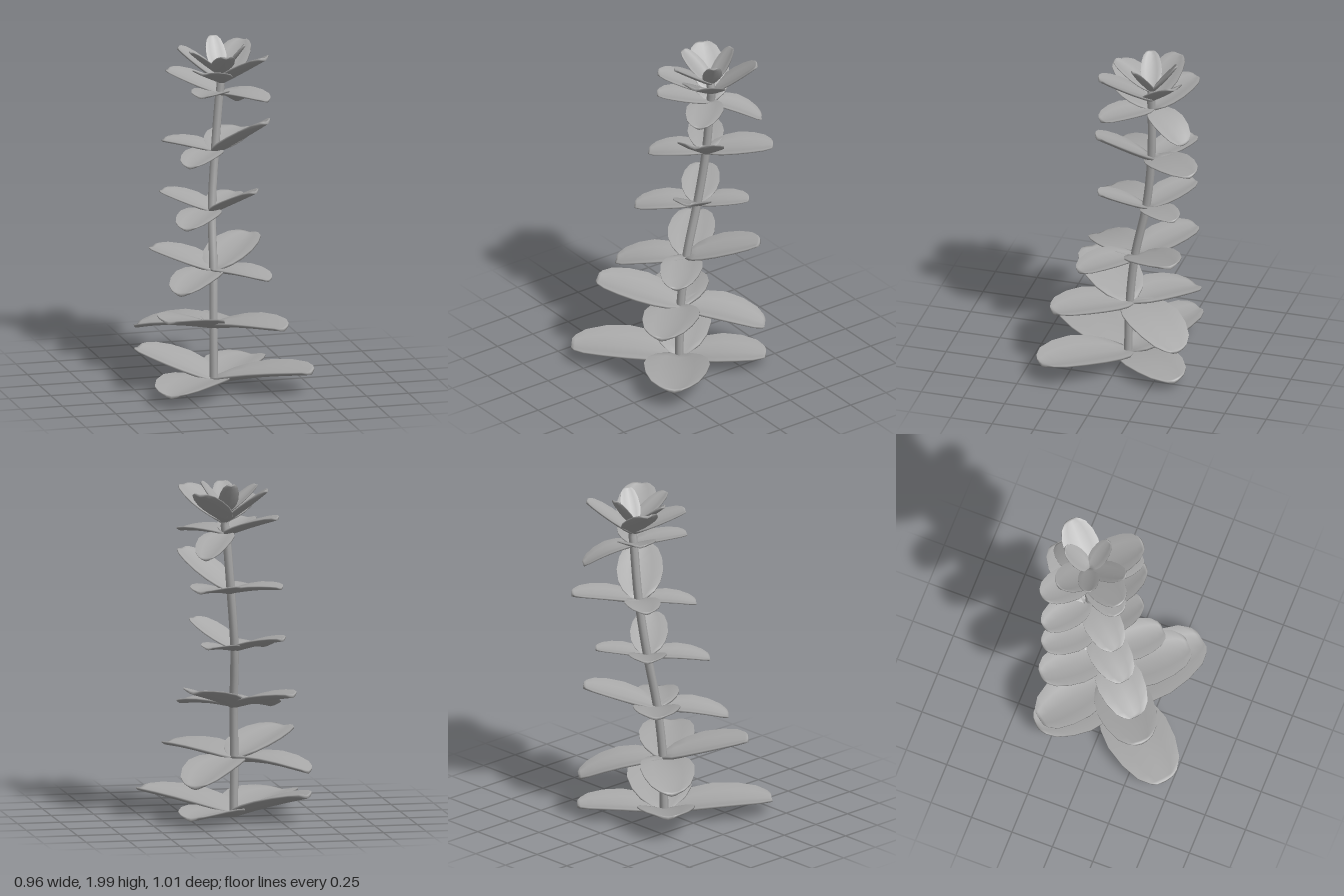
import * as THREE from 'three';

// Each whorl: the node on the stem, the tips of its leaves and their relative width
const WHORLS = [
  { node: [-0.02, 0.035, -0.015], tips: [[-0.41, 0.08, 0.47], [0.455, 0.135, 0.36], [-0.39, 0.17, -0.33], [0.31, 0.065, -0.39]] },
  { node: [-0.02, 0.36, -0.025], tips: [[-0.38, 0.48, 0.31], [0.3, 0.4, 0.34], [-0.4, 0.31, -0.31], [0.29, 0.25, -0.4]] },
  { node: [-0.01, 0.675, -0.06], tips: [[-0.29, 0.62, 0.24], [0.25, 0.66, 0.2], [-0.3, 0.76, -0.34], [0.29, 0.8, -0.36]] },
  { node: [0, 1.01, -0.13], tips: [[-0.23, 0.98, 0.15], [0.2, 1.16, 0.09], [-0.24, 1.09, -0.35], [0.2, 1.05, -0.35]] },
  { node: [0.03, 1.355, -0.17], tips: [[-0.19, 1.33, 0.08], [0.27, 1.57, 0.08], [-0.23, 1.39, -0.35], [0.27, 1.4, -0.47]] },
  { node: [0.06, 1.695, -0.18], tips: [[-0.12, 1.74, 0.07], [0.28, 1.69, 0.06], [-0.2, 1.8, -0.37], [0.23, 1.58, -0.42]] },
  { node: [0.07, 1.765, -0.18], tips: [[-0.11, 1.88, 0.07], [0.26, 1.945, 0.07], [-0.16, 1.95, -0.28], [0.25, 1.95, -0.37]] },
  { node: [0.06, 1.81, -0.18], tips: [[-0.13, 1.96, -0.12], [0.035, 1.96, 0.05], [0.19, 1.985, -0.11], [0.06, 1.995, -0.33]], width: 0.75 },
];

// Half width of a leaf along its length: broad foot, blunt rounded end
const OUTLINE = [[0, 0.3], [0.13, 0.68], [0.28, 0.9], [0.48, 1], [0.7, 0.92], [0.88, 0.72], [0.97, 0.46], [1, 0.28]];
const ACROSS = [-1, -0.55, 0, 0.55, 1];

// Fleshy, slightly cupped leaf growing along +z with its upper face to +y
function leafGeometry(length, width, arch) {
  const half = Math.min(0.33 * length, 0.19) * width;
  const thick = Math.min(0.065 * length, 0.03);
  const pos = [], index = [], n = ACROSS.length, ring = 2 * n;

  for (const [t, w] of OUTLINE) {
    const bow = arch * length * Math.sin(Math.PI * t);
    const point = (s, under) => {
      const top = half * w * 0.2 * Math.pow(Math.abs(s), 1.3);
      const depth = under ? thick * (1 - 0.55 * s * s) * (1 - 0.35 * t) : 0;
      pos.push(s * half * w, bow + top - depth, t * length);
    };
    ACROSS.forEach((s) => point(s, true));
    ACROSS.forEach((s) => point(-s, false));
  }

  const quad = (a, b, c, d) => index.push(a, b, c, a, c, d);
  for (let i = 0; i < OUTLINE.length - 1; i++) {
    for (let j = 0; j < ring; j++) {
      const k = (j + 1) % ring, a = i * ring, b = a + ring;
      quad(a + j, a + k, b + k, b + j);
    }
  }
  // close the foot and the tip
  const last = (OUTLINE.length - 1) * ring;
  for (let j = 0; j < n - 1; j++) {
    const u = ring - 1 - j;
    quad(u, u - 1, j + 1, j);
    quad(last + j, last + j + 1, last + u - 1, last + u);
  }

  const geo = new THREE.BufferGeometry();
  geo.setAttribute('position', new THREE.Float32BufferAttribute(pos, 3));
  geo.setIndex(index);
  geo.computeVertexNormals();
  return geo;
}

function makeLeaf(node, tip, width, material) {
  const base = new THREE.Vector3(...node);
  const along = new THREE.Vector3(...tip).sub(base);
  const length = along.length();
  along.normalize();
  // rising leaves stay straight, drooping ones arch over
  const leaf = new THREE.Mesh(leafGeometry(length, width, 0.035 - 0.08 * along.y), material);
  const side = new THREE.Vector3(0, 1, 0).cross(along).normalize();
  const up = along.clone().cross(side);
  leaf.quaternion.setFromRotationMatrix(new THREE.Matrix4().makeBasis(side, up, along));
  leaf.position.copy(base);
  leaf.name = 'leaf';
  return leaf;
}

export function createModel() {
  const material = new THREE.MeshStandardMaterial({ color: 0xa8a8a8 });
  const plant = new THREE.Group();
  plant.name = 'plant';

  // leaning stem through all the nodes
  const path = new THREE.CatmullRomCurve3(WHORLS.map((w) => new THREE.Vector3(...w.node)));
  const stemMaterial = material.clone();
  stemMaterial.side = THREE.DoubleSide;
  const stem = new THREE.Mesh(new THREE.TubeGeometry(path, 24, 0.025, 8), stemMaterial);
  stem.name = 'stem';
  plant.add(stem);

  // whorls of leaves
  WHORLS.forEach(({ node, tips, width = 1 }, i) => {
    const whorl = new THREE.Group();
    whorl.name = i === WHORLS.length - 1 ? 'crownLeaves' : 'leafWhorl' + (i + 1);
    tips.forEach((tip) => whorl.add(makeLeaf(node, tip, width, material)));
    plant.add(whorl);
  });

  return plant;
}
